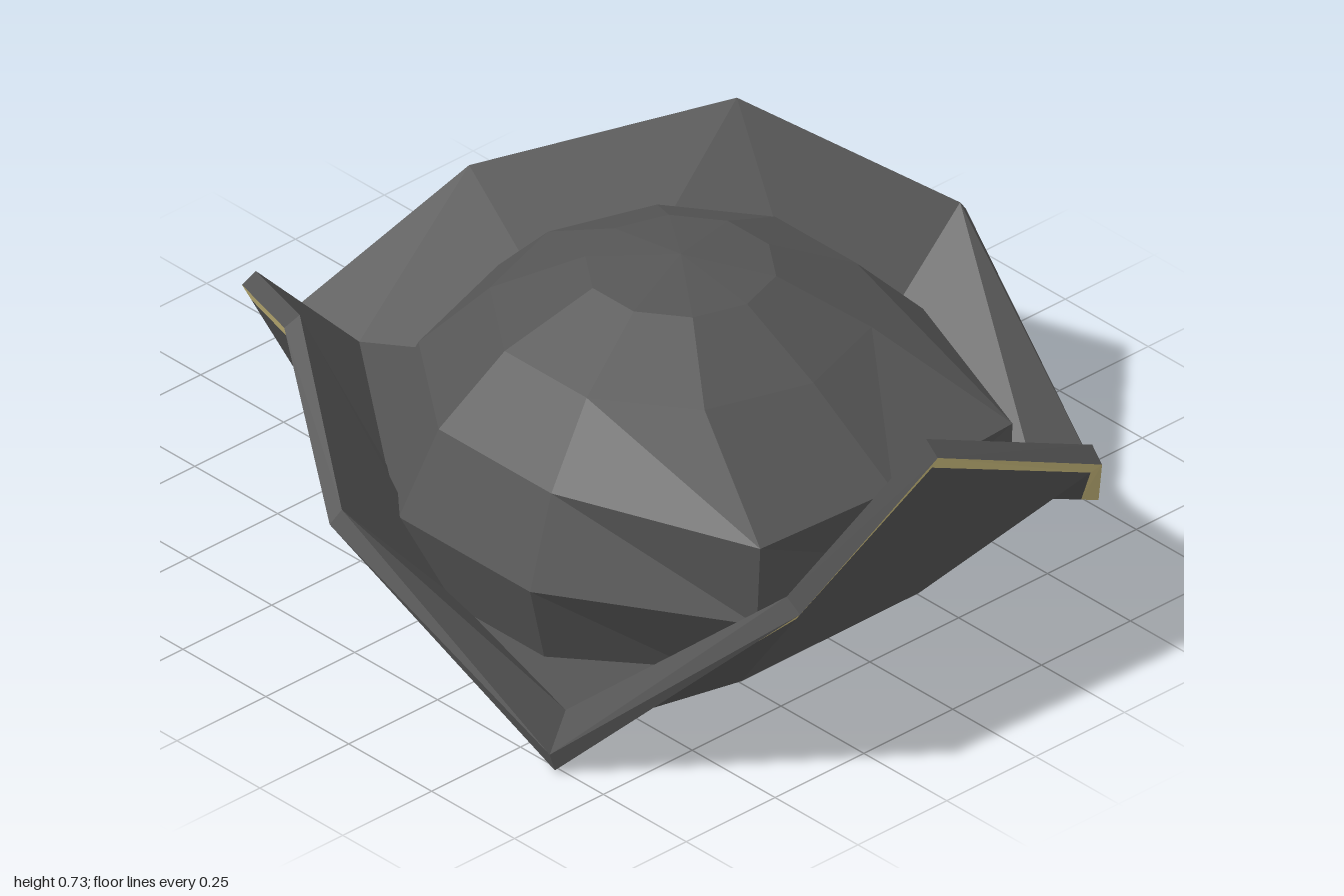
import * as THREE from 'three';

const felt = new THREE.MeshStandardMaterial({ color: 0x555555, flatShading: true });
const gold = new THREE.MeshStandardMaterial({ color: 0xd0c080, flatShading: true });

// Closed loop from its +x half, listed from the back centre to the front centre
function mirrorLoop(half) {
  const right = half.map(p => new THREE.Vector3(...p));
  const left = right.slice(1, -1).reverse().map(p => new THREE.Vector3(-p.x, p.y, p.z));
  return [...right, ...left];
}

// Skin a sequence of equal-length loops; the diagonals turn over every half period,
// rising in the first half or, when flipped, in the second
function skin(name, loops, material, period, flip) {
  const pos = [];
  const tri = (...pts) => {
    const area = new THREE.Triangle(...pts).getArea();
    if (area > 1e-7) pts.forEach(p => pos.push(p.x, p.y, p.z));
  };
  for (let k = 0; k < loops.length - 1; k++) {
    const lo = loops[k], hi = loops[k + 1], n = lo.length;
    for (let i = 0; i < n; i++) {
      const j = (i + 1) % n;
      if ((i % period < period / 2) !== flip) {
        tri(lo[i], hi[i], hi[j]);
        tri(lo[i], hi[j], lo[j]);
      } else {
        tri(lo[i], hi[i], lo[j]);
        tri(lo[j], hi[i], hi[j]);
      }
    }
  }
  const geo = new THREE.BufferGeometry();
  geo.setAttribute('position', new THREE.Float32BufferAttribute(pos, 3));
  geo.computeVertexNormals();
  const mesh = new THREE.Mesh(geo, material);
  mesh.name = name;
  return mesh;
}

const pointLoop = (n, x, y, z) => Array.from({ length: n }, () => new THREE.Vector3(x, y, z));

export function createModel() {
  const hat = new THREE.Group();
  hat.name = 'threeCorneredHat';

  // Brim loops: back corner, side flap (3 points), front corner, front flap (2 points)
  const bottom = mirrorLoop([
    [0, 0, -0.87], [0.29, 0.005, -0.46], [0.42, 0.005, -0.2], [0.55, 0.005, 0.06],
    [0.68, 0, 0.52], [0.25, 0.005, 0.63], [0, 0.005, 0.63],
  ]);
  const rimOuter = mirrorLoop([
    [0, 0.005, -1], [0.33, 0.35, -0.79], [0.64, 0.59, -0.33], [0.895, 0.41, 0.08],
    [0.765, 0.005, 0.62], [0.425, 0.41, 0.995], [0, 0.59, 0.955],
  ]);
  const rimInner = mirrorLoop([
    [0, 0.045, -1], [0.3, 0.375, -0.78], [0.615, 0.62, -0.31], [0.87, 0.44, 0.09],
    [0.775, 0.045, 0.615], [0.43, 0.44, 0.96], [0, 0.62, 0.92],
  ]);
  const floor = mirrorLoop([
    [0, 0.07, -0.79], [0.28, 0.07, -0.41], [0.4, 0.07, -0.18], [0.53, 0.07, 0.07],
    [0.66, 0.07, 0.54], [0.25, 0.07, 0.62], [0, 0.07, 0.62],
  ]);
  // Lower edge of the trim, a fixed distance down the outer wall
  const trimLow = rimOuter.map((p, i) =>
    p.clone().add(bottom[i].clone().sub(p).setLength(0.036)));

  hat.add(skin('brimOutside', [pointLoop(12, 0, 0.005, 0), bottom, trimLow], felt, 4, false));
  hat.add(skin('goldTrim', [trimLow, rimOuter], gold, 4, false));
  hat.add(skin('brimInside', [rimOuter, rimInner, floor, pointLoop(12, 0, 0.07, 0.1)], felt, 4, true));

  // Ten-sided crown, its front pushed out against the front flap
  const rings = [
    // radius, height, back z, front z, front-side z
    [0.58, 0.07, -0.5, 0.61, 0.6],
    [0.64, 0.26, -0.46, 0.75, 0.79],
    [0.55, 0.45, -0.37, 0.82, 0.8],
    [0.4, 0.6], [0.2, 0.7], [0, 0.73],
  ].map(([r, y, back, front, frontSide]) => mirrorLoop(
    Array.from({ length: 6 }, (_, i) => {
      const a = i * Math.PI / 5;
      const z = [back, , , , frontSide, front][i] ?? 0.18 - r * Math.cos(a);
      const x = i === 4 && frontSide ? 0.355 : r * Math.sin(a);
      return [i % 5 ? x : 0, y, z];
    })));
  hat.add(skin('crown', rings, felt, 10, true));

  return hat;
}
